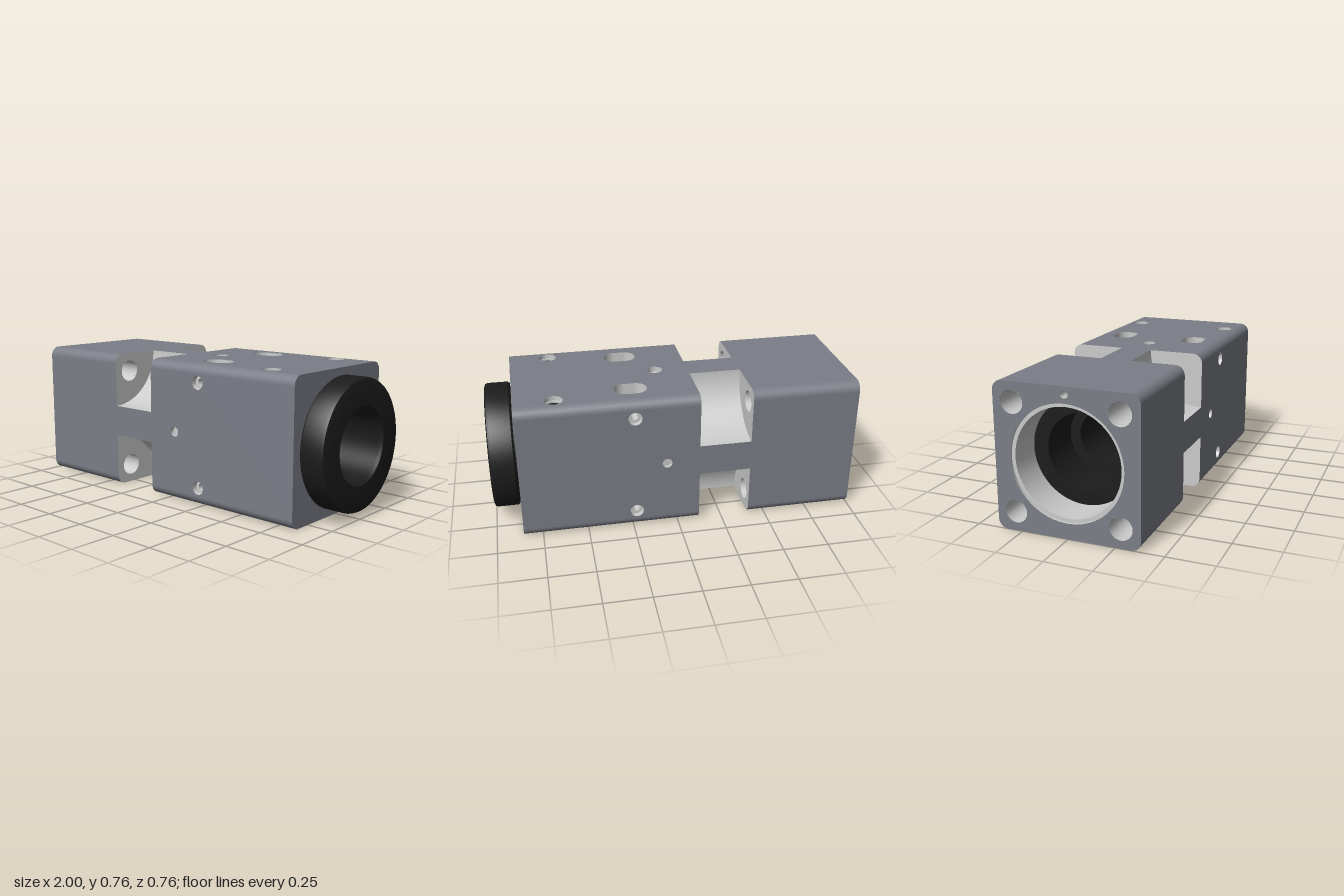
import * as THREE from 'three';
import { toCreasedNormals } from 'three/addons/utils/BufferGeometryUtils.js';

const PI = Math.PI;
const H = 0.3825;              // half width of the square housing
const R = 0.052;               // long-edge rounding
const F = H - R;               // half width of the flat faces
const N = 0.297;               // radius of the corner notches
const X0 = -1, X1 = -0.405, X2 = -0.12, X3 = 0.855;
const SLOT = { x: 0.23, z: 0.215, r: 0.063, half: 0.027 };
const PIN = 0.285;             // offset of the cross holes

const mat = (color) => new THREE.MeshStandardMaterial({ color, side: THREE.DoubleSide });

export function createModel() {
  const model = new THREE.Group();
  model.position.y = H;
  const shell = mat(0x7b7e87), metal = mat(0xcccccc), black = mat(0x1c1c1c);

  const add = (parent, name, geometry, material) => {
    const mesh = new THREE.Mesh(geometry, material);
    mesh.name = name;
    parent.add(mesh);
    return mesh;
  };
  const circle = (x, y, r) => new THREE.Path().absarc(x, y, r, 0, 2 * PI, true);
  const lathe = (points, segments) => toCreasedNormals(
    new THREE.LatheGeometry(points.map(([r, y]) => new THREE.Vector2(r, y)), segments), 0.5);
  // Cylinder wall along x
  const tubeX = (r, a, b, start = 0, sweep = 2 * PI, seg = 24) =>
    new THREE.CylinderGeometry(r, r, b - a, seg, 1, true, start, sweep)
      .rotateZ(-PI / 2).translate((a + b) / 2, 0, 0);
  // Flat shape drawn in (z, y), standing at a given x
  const plateX = (shape, x) => new THREE.ShapeGeometry(shape, 24).rotateY(-PI / 2).translate(x, 0, 0);

  // Long faces, with the waist cut in and holes [x, u, profile of (radius, depth)]
  const n = H - N;
  const outline = [[X0, -F], [X1, -F], [X1, -n], [X2, -n], [X2, -F], [X3, -F],
    [X3, F], [X2, F], [X2, n], [X1, n], [X1, F], [X0, F]];
  const both = (x, u, profile) => [[x, u, profile], [x, -u, profile]];
  const sideHoles = [
    ...both(SLOT.x, PIN, [[0.037, 0], [0.037, 0.03], [0.02, 0.03], [0.02, H - SLOT.z - SLOT.r]]),
    [0.06, 0, [[0.027, 0], [0.027, 0.02], [0, 0.02]]],
  ];
  const topHoles = [
    ...both(0.64, 0.28, [[0.049, 0], [0.049, 0.025], [0.04, 0.025], [0.04, 0.06]]),
    [0.06, 0, [[0.042, 0], [0.042, 0.03], [0.02, 0.03], [0.02, 0.07], [0, 0.07]]],
  ];
  const bottomHoles = both(0.64, 0.28, [[0.022, 0], [0.022, 0.1], [0, 0.1]]);

  const addFace = (name, angle, holes, slotted) => {
    const face = new THREE.Group();
    face.name = name;
    face.rotation.x = angle;
    model.add(face);
    const shape = new THREE.Shape(outline.map(([x, y]) => new THREE.Vector2(x, y)));
    for (const [x, u, profile] of holes) {
      shape.holes.push(circle(x, u, profile[0][0]));
      const wall = lathe(profile.map(([r, d]) => [r, -d]), 24).rotateX(PI / 2).translate(x, u, H);
      add(face, 'holeWall', wall, metal);
    }
    if (slotted) for (const s of [-1, 1]) {
      const slot = new THREE.Path();
      slot.absarc(SLOT.x + SLOT.half, s * SLOT.z, SLOT.r, -PI / 2, PI / 2, false);
      slot.absarc(SLOT.x - SLOT.half, s * SLOT.z, SLOT.r, PI / 2, 1.5 * PI, false);
      slot.closePath();
      shape.holes.push(slot);
    }
    add(face, name + 'Panel', new THREE.ShapeGeometry(shape, 24).translate(0, 0, H), shell);
  };
  addFace('frontFace', 0, sideHoles, false);
  addFace('backFace', PI, sideHoles, false);
  addFace('topFace', -PI / 2, topHoles, true);
  addFace('bottomFace', PI / 2, bottomHoles, true);

  // Dark plugs in the two top recesses
  for (const s of [-1, 1]) {
    add(model, 'recessPlug', new THREE.CylinderGeometry(0.04, 0.04, 0.02, 24)
      .translate(0.64, H - 0.045, s * 0.28), black);
  }

  // Four corners: rounded edges, concave notch, notch walls, bolt hole
  const wallShape = (withHole) => {
    const shape = new THREE.Shape();
    shape.moveTo(H, n);
    shape.lineTo(H, F);
    shape.absarc(F, F, R, 0, PI / 2, false);
    shape.lineTo(n, H);
    shape.absarc(H, H, N, PI, 1.5 * PI, false);
    if (withHole) shape.holes.push(circle(0.28, 0.28, 0.06));
    return shape;
  };
  for (let k = 0; k < 4; k++) {
    const corner = new THREE.Group();
    corner.name = 'corner';
    corner.rotation.x = k * PI / 2;
    model.add(corner);
    for (const [a, b] of [[X0, X1], [X2, X3]]) {
      add(corner, 'roundedEdge', tubeX(R, a, b, 1.5 * PI, PI / 2, 10).translate(0, F, F), shell);
    }
    add(corner, 'notch', tubeX(N, X1, X2, PI / 2, PI / 2).translate(0, H, H), metal);
    add(corner, 'notchWallLeft', plateX(wallShape(true), X1), metal);
    add(corner, 'notchWallRight', plateX(wallShape(false), X2), metal);
    add(corner, 'boltHole', tubeX(0.06, X0, X1).translate(0, 0.28, 0.28), metal);
  }

  // Vertical slots through the body, pierced by the cross holes
  for (const s of [-1, 1]) {
    for (const e of [-1, 1]) {
      add(model, 'slotEnd', new THREE.CylinderGeometry(SLOT.r, SLOT.r, 2 * H, 16, 1, true, e > 0 ? 0 : PI, PI)
        .translate(SLOT.x + e * SLOT.half, 0, s * SLOT.z), metal);
      const a = SLOT.x - SLOT.half, b = SLOT.x + SLOT.half;
      const side = new THREE.Shape([[a, -H], [b, -H], [b, H], [a, H]].map(([x, y]) => new THREE.Vector2(x, y)));
      side.holes.push(circle(SLOT.x, PIN, 0.02), circle(SLOT.x, -PIN, 0.02));
      add(model, 'slotSide', new THREE.ShapeGeometry(side, 20)
        .translate(0, 0, s * SLOT.z + e * SLOT.r), metal);
    }
    add(model, 'crossHole', new THREE.CylinderGeometry(0.02, 0.02, 2 * (SLOT.z - SLOT.r), 20, 1, true)
      .rotateX(PI / 2).translate(SLOT.x, s * PIN, 0), metal);
  }

  // End plates
  const square = () => {
    const shape = new THREE.Shape();
    shape.absarc(F, F, R, 0, PI / 2, false);
    shape.absarc(-F, F, R, PI / 2, PI, false);
    shape.absarc(-F, -F, R, PI, 1.5 * PI, false);
    shape.absarc(F, -F, R, 1.5 * PI, 2 * PI, false);
    shape.closePath();
    return shape;
  };
  const mount = square();
  mount.holes.push(circle(0, 0, 0.3), circle(0, 0.345, 0.02));
  for (const y of [-0.28, 0.28]) for (const z of [-0.28, 0.28]) mount.holes.push(circle(z, y, 0.06));
  add(model, 'mountingEnd', plateX(mount, X0), shell);
  add(model, 'locatingHole', tubeX(0.02, X0, X0 + 0.1).translate(0, 0.345, 0), metal);
  const nose = square();
  nose.holes.push(circle(0, 0, 0.3));
  add(model, 'noseEnd', plateX(nose, X3), shell);

  // Stepped bore at the mounting end
  add(model, 'mountingBore', lathe([[0.3, -1], [0.3, -0.985], [0.28, -0.985], [0.28, -0.8]], 64)
    .rotateZ(-PI / 2), metal);

  // Black inner barrel ending in the nose ring
  add(model, 'barrelAndNoseRing', lathe([
    [0.28, -0.8], [0.2, -0.8], [0.2, -0.55], [0.143, -0.55], [0.143, 0.75], [0.195, 0.75], [0.195, 0.985],
    [0.205, 1], [0.33, 1], [0.342, 0.995], [0.347, 0.983], [0.347, 0.872], [0.338, 0.862], [0.29, 0.862], [0.29, X3],
  ], 72).rotateZ(-PI / 2), black);

  const root = new THREE.Group();
  root.name = 'housingAssembly';
  model.name = 'housing';
  root.add(model);
  return root;
}
